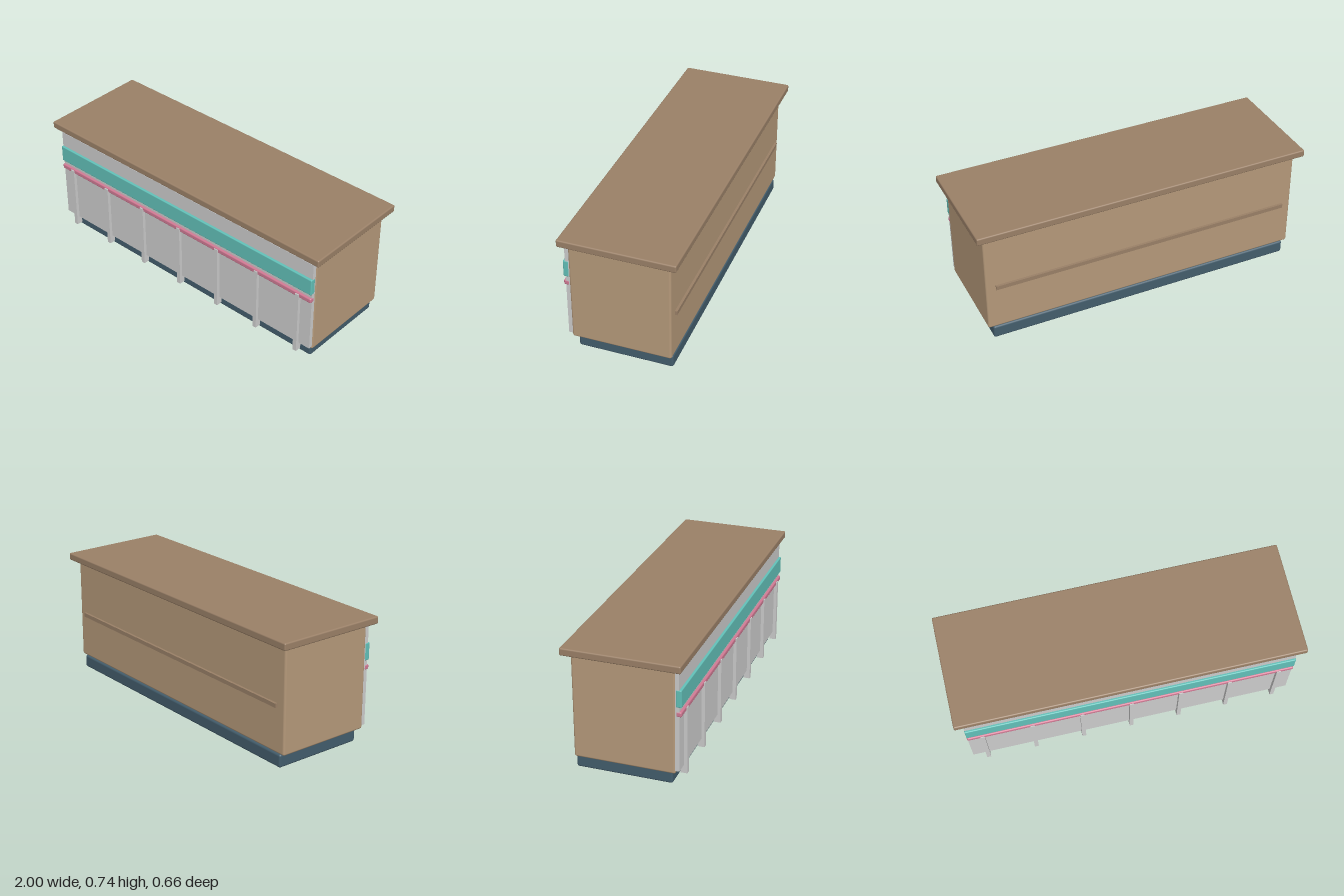
import * as THREE from 'three';
import { RoundedBoxGeometry } from 'three/addons/geometries/RoundedBoxGeometry.js';

const paint = (color) => new THREE.MeshStandardMaterial({ color });

export function createModel() {
  const counter = new THREE.Group();
  counter.name = 'counter';

  const wood = paint(0xb5997a);
  const darkWood = paint(0x9a8067);
  const slate = paint(0x435d6c);
  const teal = paint(0x62c0b8);
  const pink = paint(0xd07a94);
  const grey = paint(0xcccccc);

  // Box given by its extents on each axis; a radius rounds its edges
  function block(name, material, [x0, x1], [y0, y1], [z0, z1], radius = 0) {
    const size = [x1 - x0, y1 - y0, z1 - z0];
    const geometry = radius
      ? new RoundedBoxGeometry(...size, 3, radius)
      : new THREE.BoxGeometry(...size);
    const mesh = new THREE.Mesh(geometry, material);
    mesh.name = name;
    mesh.position.set((x0 + x1) / 2, (y0 + y1) / 2, (z0 + z1) / 2);
    counter.add(mesh);
  }

  // Recessed plinth, cabinet and overhanging top
  block('plinth', slate, [-0.928, 0.928], [0, 0.077], [-0.287, 0.262], 0.012);
  block('cabinet', wood, [-0.957, 0.957], [0.079, 0.692], [-0.287, 0.287], 0.012);
  block('countertop', darkWood, [-1, 1], [0.694, 0.737], [-0.332, 0.332], 0.008);

  // Front cladding with its coloured bands
  block('frontPanel', grey, [-0.952, 0.952], [0.098, 0.673], [0.28, 0.308]);
  block('tealBand', teal, [-0.954, 0.954], [0.477, 0.578], [0.289, 0.321], 0.006);
  block('pinkRail', pink, [-0.954, 0.954], [0.422, 0.452], [0.289, 0.321], 0.008);

  // Seven upright battens
  for (let i = -3; i <= 3; i++) {
    const x = i * 0.2885;
    block('batten', grey, [x - 0.012, x + 0.012], [0.048, 0.444], [0.289, 0.327]);
  }

  // Thin rail along the back
  block('backRail', darkWood, [-0.9, 0.9], [0.343, 0.367], [-0.301, -0.28]);

  return counter;
}
